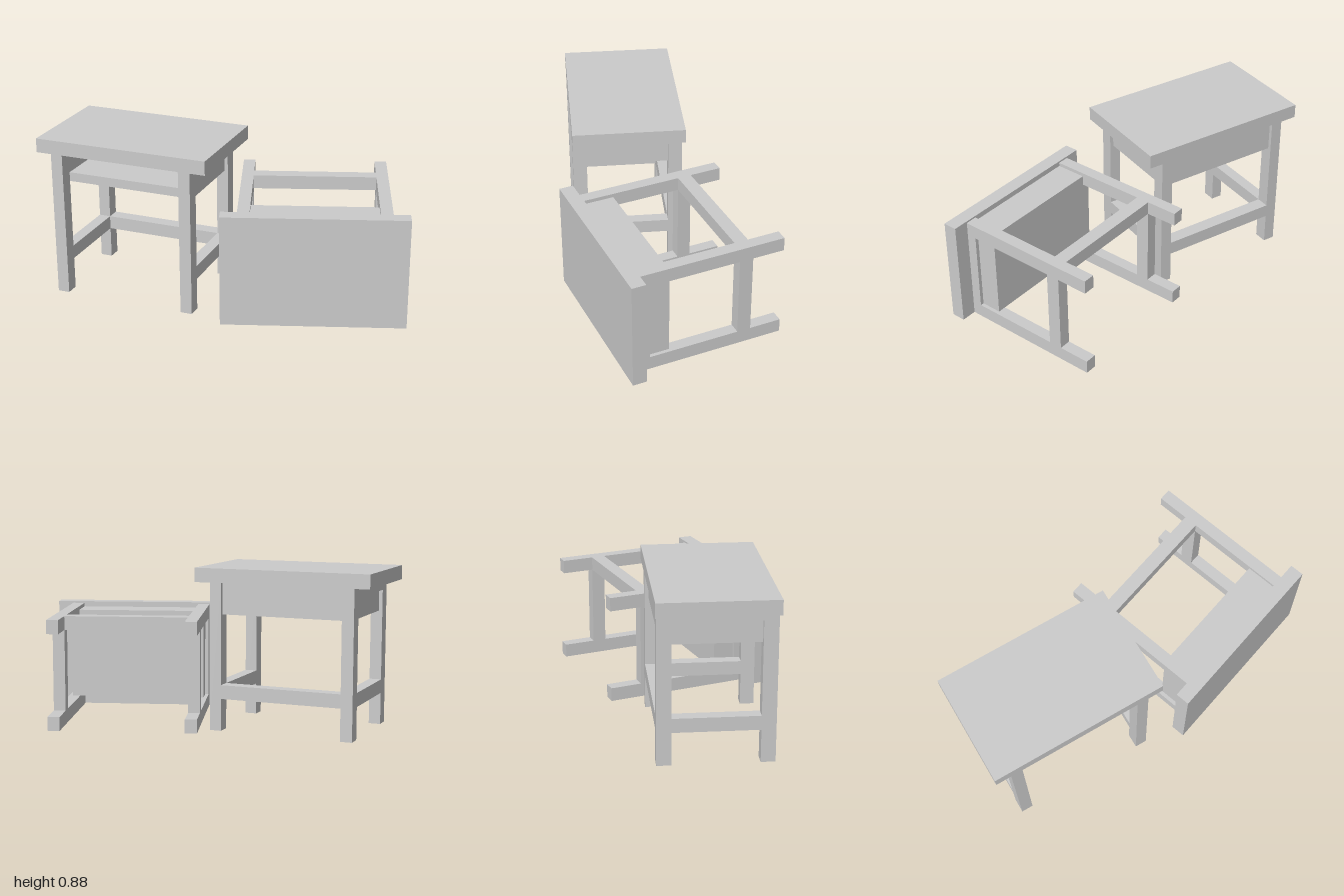
import * as THREE from 'three';

const material = new THREE.MeshStandardMaterial({ color: 0xcccccc, flatShading: true });

// Box given by its min and max along each axis
function block(parent, name, [x0, x1], [y0, y1], [z0, z1]) {
  const mesh = new THREE.Mesh(new THREE.BoxGeometry(x1 - x0, y1 - y0, z1 - z0), material);
  mesh.position.set((x0 + x1) / 2, (y0 + y1) / 2, (z0 + z1) / 2);
  mesh.name = name;
  parent.add(mesh);
}

function createDesk(name) {
  const desk = new THREE.Group();
  desk.name = name;
  const inner = 0.335, outer = 0.4;
  const front = [0.2275, 0.3025], back = [-0.2925, -0.2175];
  const between = [back[1], front[0]];
  const span = [-inner, inner];

  block(desk, 'tabletop', [-0.485, 0.485], [0.8, 0.877], [-0.3025, 0.3025]);

  // Legs and side rails, mirrored left and right
  for (const side of [-1, 1]) {
    const range = (a, b) => (side > 0 ? [a, b] : [-b, -a]);
    const width = range(inner, outer);
    block(desk, 'frontLeg', width, [0, 0.8], front);
    block(desk, 'backLeg', width, [0, 0.8], back);
    block(desk, 'lowerSideRail', width, [0.175, 0.25], between);
    block(desk, 'upperSideRail', width, [0.745, 0.8], between);
    block(desk, 'compartmentSide', range(inner, outer - 0.02), [0.63, 0.745], between);
  }

  // Back stretcher and the open-fronted book compartment
  block(desk, 'backStretcher', span, [0.175, 0.25], back);
  block(desk, 'compartmentFloor', span, [0.63, 0.68], between);
  block(desk, 'compartmentCeiling', span, [0.78, 0.8], between);
  block(desk, 'compartmentBack', span, [0.63, 0.8], [back[0] + 0.02, back[1]]);
  return desk;
}

export function createModel() {
  const model = new THREE.Group();
  model.name = 'deskPair';

  const upright = createDesk('uprightDesk');
  upright.position.set(-0.515, 0, 0.1675);

  // Second desk lies on its front, turned a little
  const fallen = createDesk('fallenDesk');
  fallen.rotation.set(Math.PI / 2, 0.325, 0, 'YXZ');
  fallen.position.set(0.26, 0.318, -0.433);

  model.add(upright, fallen);
  return model;
}
